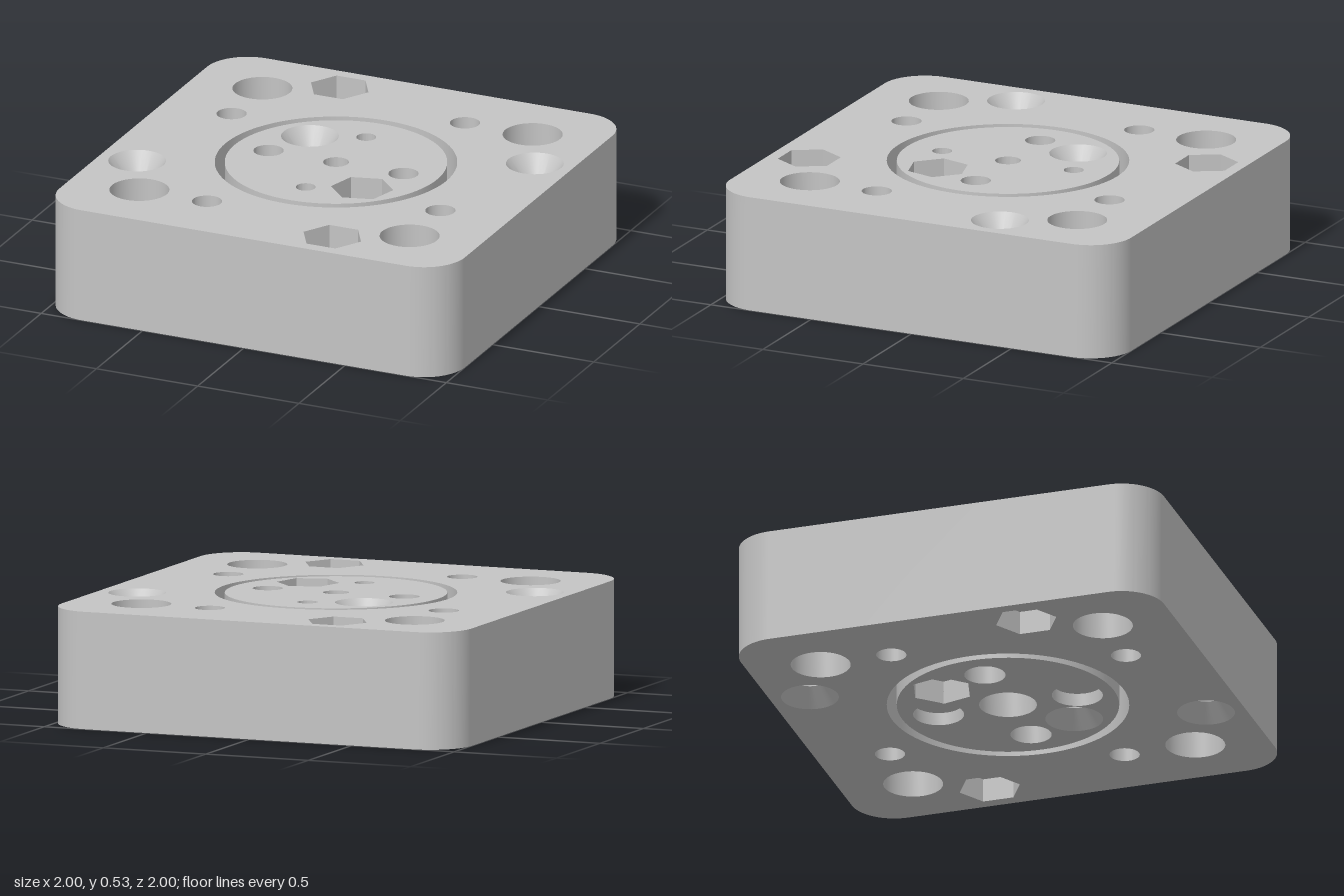
import * as THREE from 'three';
import { toCreasedNormals } from 'three/addons/utils/BufferGeometryUtils.js';

const H = 0.533;          // plate thickness
const SEG = 48;           // sides of round holes
const SHAFT = 0.068;      // screw shaft radius
const HEAD = 0.13, HEAD_DEPTH = 0.085;   // countersinks
const NUT = 0.142, NUT_DEPTH = 0.11;     // hexagonal nut pockets

const steel = new THREE.MeshStandardMaterial({ color: 0xc4c4c4 });
steel.name = 'plain grey';

function add(group, name, geometry) {
  const mesh = new THREE.Mesh(geometry, steel);
  mesh.name = name;
  group.add(mesh);
  return mesh;
}

// Regular polygon; s is -1 for faces looking up and 1 for faces looking down
function polygon({ x = 0, z = 0, r, sides = SEG, phase = 0 }, s) {
  return Array.from({ length: sides }, (_, i) => {
    const a = phase + (i / sides) * Math.PI * 2;
    return new THREE.Vector2(x + r * Math.sin(a), s * (z + r * Math.cos(a)));
  });
}

function roundedSquare(half, radius) {
  const shape = new THREE.Shape();
  const c = half - radius;
  [[c, c], [-c, c], [-c, -c], [c, -c]].forEach(([x, y], i) =>
    shape.absarc(x, y, radius, i * Math.PI / 2, (i + 1) * Math.PI / 2, false));
  return shape.getPoints(16);
}

// Flat face with openings, at height y
function face(group, name, outline, openings, y, up) {
  const s = up ? -1 : 1;
  const shape = new THREE.Shape(Array.isArray(outline) ? outline : polygon(outline, s));
  shape.holes = openings.map(o => new THREE.Path(polygon(o, s)));
  const geometry = new THREE.ShapeGeometry(shape);
  geometry.rotateX(s * Math.PI / 2);
  geometry.translate(0, y, 0);
  add(group, name, geometry);
}

// Turned surface: a profile running downwards faces inwards
function turned(group, name, profile, { x = 0, z = 0, sides = SEG, phase = 0 } = {}) {
  const points = profile.map(([r, y]) => new THREE.Vector2(r, y));
  const geometry = toCreasedNormals(new THREE.LatheGeometry(points, sides, phase), 0.5);
  add(group, name, geometry).position.set(x, 0, z);
}

// Upright wall around an outline
function wall(group, name, outline) {
  const pos = [];
  outline.forEach((p, i) => {
    const q = outline[(i + 1) % outline.length];
    if (p.distanceTo(q) < 1e-6) return;
    pos.push(p.x, 0, -p.y, q.x, 0, -q.y, q.x, H, -q.y,
      p.x, 0, -p.y, q.x, H, -q.y, p.x, H, -p.y);
  });
  const geometry = new THREE.BufferGeometry();
  geometry.setAttribute('position', new THREE.Float32BufferAttribute(pos, 3));
  add(group, name, toCreasedNormals(geometry, 0.5));
}

// Each hole builder cuts its walls and returns its top and bottom openings
function straightHole(group, x, z, r) {
  turned(group, 'throughHole', [[r, H], [r, 0]], { x, z });
  return { top: { x, z, r }, bottom: { x, z, r } };
}

function counterbore(group, x, z, r, wide, depth) {
  turned(group, 'counterboredHole', [[r, H], [r, depth], [wide, depth], [wide, 0]], { x, z });
  return { top: { x, z, r }, bottom: { x, z, r: wide } };
}

function blindPair(group, x, z) {
  const pin = 0.045, recess = 0.115;
  turned(group, 'pinHole', [[pin, H], [pin, 0.15], [0, 0.15]], { x, z });
  turned(group, 'shallowRecess', [[0, 0.06], [recess, 0.06], [recess, 0]], { x, z });
  return { top: { x, z, r: pin }, bottom: { x, z, r: recess } };
}

// Screw hole with a nut pocket on one face and a countersink on the other
function screwHole(group, x, z, nutOnTop, phase) {
  const hex = { x, z, r: NUT, sides: 6, phase };
  const cone = { x, z, r: HEAD };
  const seat = nutOnTop ? H - NUT_DEPTH : NUT_DEPTH;
  turned(group, 'nutPocket', nutOnTop ? [[NUT, H], [NUT, seat]] : [[NUT, seat], [NUT, 0]], hex);
  face(group, 'nutSeat', hex, [{ x, z, r: SHAFT }], seat, nutOnTop);
  turned(group, 'countersunkHole', nutOnTop
    ? [[SHAFT, seat], [SHAFT, HEAD_DEPTH], [HEAD, 0]]
    : [[HEAD, H], [SHAFT, H - HEAD_DEPTH], [SHAFT, seat]], { x, z });
  return nutOnTop ? { top: hex, bottom: cone } : { top: cone, bottom: hex };
}

export function createModel() {
  const model = new THREE.Group();
  model.name = 'mountingBlock';

  // Outer block
  const block = new THREE.Group();
  block.name = 'outerBlock';
  const bore = { r: 0.545, sides: 96 };
  const outline = roundedSquare(1, 0.2);
  const outer = [{ top: bore, bottom: bore }];
  for (const sx of [-1, 1]) for (const sz of [-1, 1])
    outer.push(straightHole(block, sx * 0.667, sz * 0.667, 0.135));
  for (const s of [-1, 1]) {
    outer.push(straightHole(block, s * 0.333, -s * 0.667, SHAFT));
    outer.push(straightHole(block, s * 0.667, s * 0.333, SHAFT));
    outer.push(screwHole(block, s * 0.355, s * 0.82, true, Math.PI / 2));
    outer.push(screwHole(block, s * 0.82, -s * 0.355, false, 0));
  }
  wall(block, 'outerWall', outline);
  turned(block, 'centralBore', [[bore.r, H], [bore.r, 0]], bore);
  face(block, 'blockTop', outline, outer.map(h => h.top), H, true);
  face(block, 'blockBottom', outline, outer.map(h => h.bottom), 0, false);

  // Free disc inside the bore
  const disc = new THREE.Group();
  disc.name = 'innerDisc';
  const rim = { r: 0.5, sides: 96 };
  const inner = [counterbore(disc, 0, 0, 0.058, 0.13, 0.27)];
  for (const s of [-1, 1]) {
    inner.push(counterbore(disc, s * 0.333, 0, SHAFT, 0.093, 0.27));
    inner.push(blindPair(disc, 0, s * 0.328));
    inner.push(screwHole(disc, s * 0.236, s * 0.236, s > 0, Math.PI / 4));
  }
  turned(disc, 'discRim', [[rim.r, 0], [rim.r, H]], rim);
  face(disc, 'discTop', rim, inner.map(h => h.top), H, true);
  face(disc, 'discBottom', rim, inner.map(h => h.bottom), 0, false);

  model.add(block, disc);
  return model;
}
